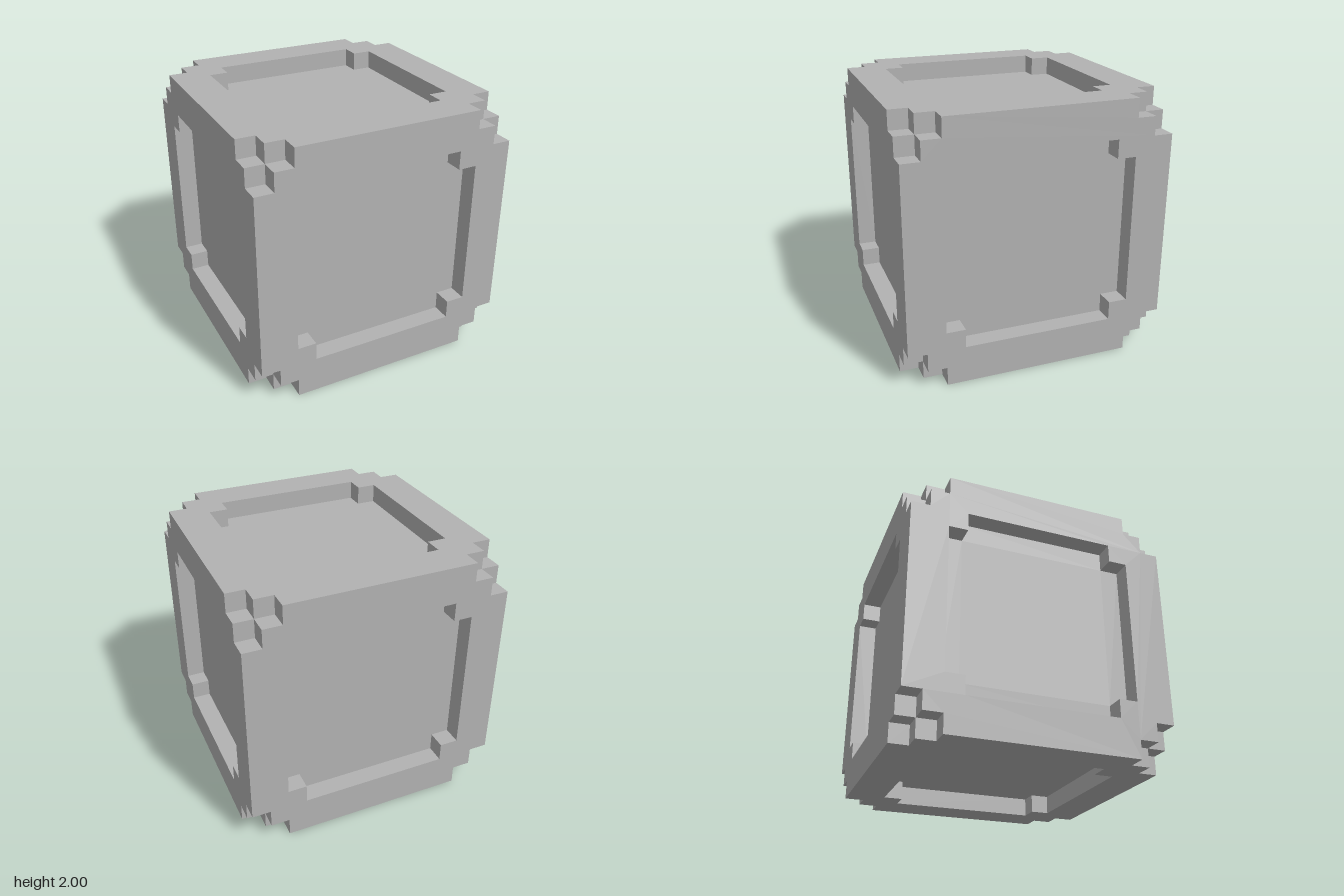
import * as THREE from 'three';
import { mergeGeometries } from 'three/addons/utils/BufferGeometryUtils.js';

const CELL = 1 / 7; // the cube is 14 cells wide

// Repeat one corner's points (in cells) around all four corners, counter-clockwise
function fourCorners(points) {
  const out = [];
  for (let i = 0; i < 4; i++) {
    for (const [x, y] of points) {
      let p = [x, y];
      for (let k = 0; k < i; k++) p = [-p[1], p[0]];
      out.push(new THREE.Vector2(p[0] * CELL, p[1] * CELL));
    }
  }
  return out;
}

// Walls running inward from the face around the recess
function recessWalls(outline, top, bottom) {
  const pos = [];
  outline.forEach((a, i) => {
    const b = outline[(i + 1) % outline.length];
    pos.push(a.x, a.y, top, b.x, b.y, top, b.x, b.y, bottom);
    pos.push(a.x, a.y, top, b.x, b.y, bottom, a.x, a.y, bottom);
  });
  const g = new THREE.BufferGeometry();
  g.setAttribute('position', new THREE.Float32BufferAttribute(pos, 3));
  g.computeVertexNormals();
  return g;
}

// Stepped pockets at the four corners: two cells one deep, the outer cell two deep
function cornerSteps() {
  const cells = [[5.5, 6.5, 6], [6.5, 5.5, 6], [6.5, 6.5, 5]];
  const parts = [];
  for (let i = 0; i < 4; i++) {
    for (const [x, y, z] of cells) {
      parts.push(new THREE.PlaneGeometry(CELL, CELL)
        .translate(x * CELL, y * CELL, z * CELL)
        .rotateZ(i * Math.PI / 2));
    }
  }
  return mergeGeometries(parts);
}

export function createModel() {
  const model = new THREE.Group();
  model.name = 'notchedCube';
  const grey = new THREE.MeshStandardMaterial({ color: 0xb2b2b2 });
  grey.name = 'grey';

  const rimOutline = fourCorners([[7, 5], [6, 5], [6, 6], [5, 6], [5, 7]]);
  const recessOutline = fourCorners([[5, 4], [4, 4], [4, 5]]);

  const rimShape = new THREE.Shape(rimOutline);
  rimShape.holes.push(new THREE.Path(recessOutline));

  const parts = {
    rim: new THREE.ShapeGeometry(rimShape).translate(0, 0, 7 * CELL),
    recessPanel: new THREE.ShapeGeometry(new THREE.Shape(recessOutline)).translate(0, 0, 6 * CELL),
    recessWalls: recessWalls(recessOutline, 7 * CELL, 6 * CELL),
    cornerSteps: cornerSteps(),
  };

  // The same face on all six sides
  const q = Math.PI / 2;
  const sides = {
    front: [0, 0], left: [0, q], back: [0, 2 * q], right: [0, -q], top: [-q, 0], bottom: [q, 0],
  };
  for (const [side, [rx, ry]] of Object.entries(sides)) {
    const group = new THREE.Group();
    group.name = side + 'Side';
    for (const [name, geometry] of Object.entries(parts)) {
      const mesh = new THREE.Mesh(geometry, grey);
      mesh.name = name;
      group.add(mesh);
    }
    group.rotation.set(rx, ry, 0);
    group.position.y = 1;
    model.add(group);
  }
  return model;
}
